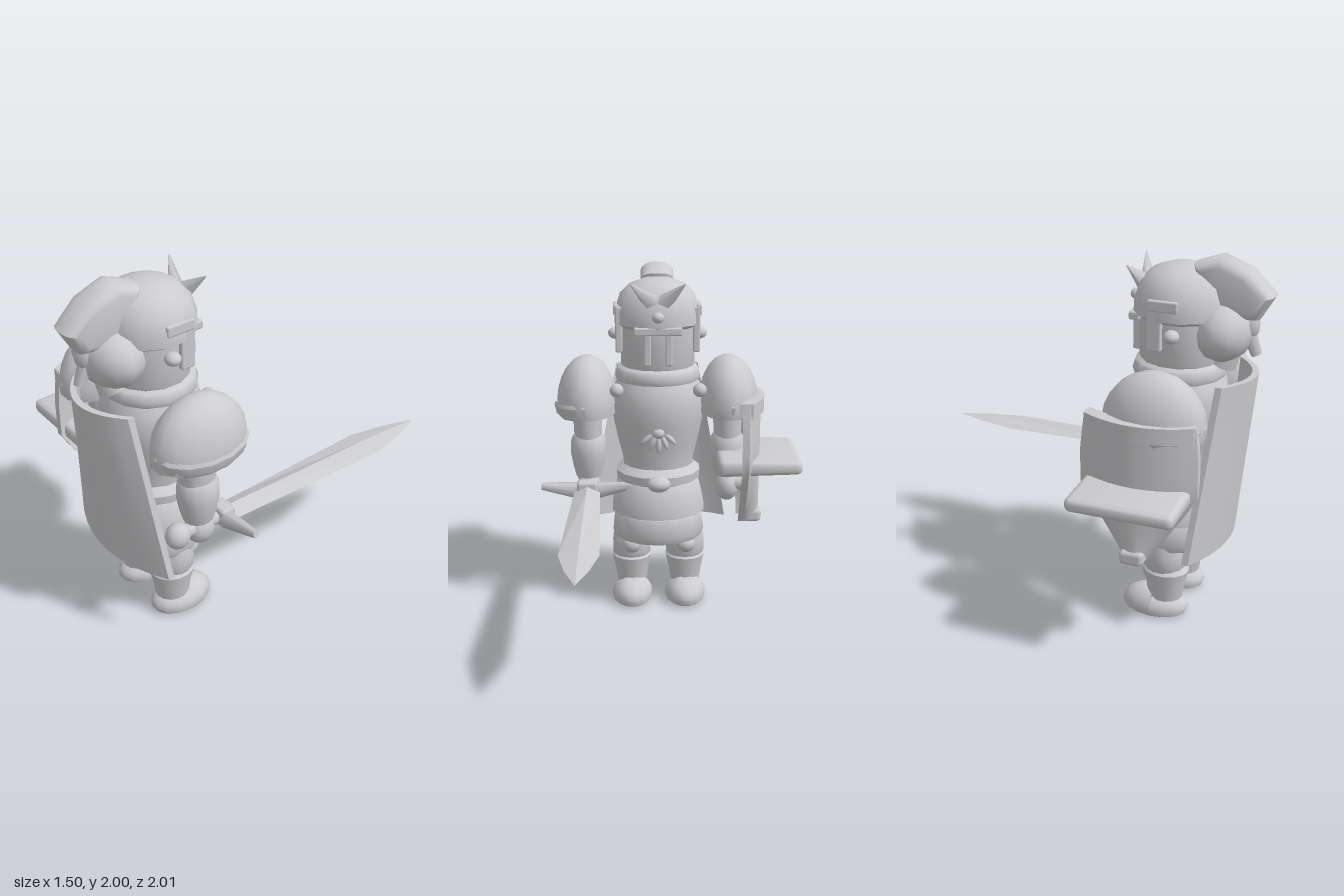
import * as THREE from 'three';
import { toCreasedNormals } from 'three/addons/utils/BufferGeometryUtils.js';
import { RoundedBoxGeometry } from 'three/addons/geometries/RoundedBoxGeometry.js';

const CX = 0.07, CZ = 0.53; // body axis; the figure faces -z

export function createModel() {
  const model = new THREE.Group();
  model.name = 'armouredKnight';
  const steel = new THREE.MeshStandardMaterial({ name: 'paleSteel', color: 0xcccccf });

  const add = (name, geo, x = 0, y = 0, z = 0) => {
    const m = new THREE.Mesh(geo, steel);
    m.name = name;
    m.position.set(x, y, z);
    model.add(m);
    return m;
  };
  const ball = (name, x, y, z, rx, ry = rx, rz = rx) => {
    const m = add(name, new THREE.SphereGeometry(1, 12, 8), x, y, z);
    m.scale.set(rx, ry, rz);
    return m;
  };
  // Round part from [radius, height] pairs
  const lathe = (name, pts, x = CX, z = CZ, sx = 1, sz = 1) => {
    const geo = new THREE.LatheGeometry(pts.map(p => new THREE.Vector2(p[0], p[1])), 14);
    const m = add(name, toCreasedNormals(geo, 0.8), x, 0, z);
    m.scale.set(sx, 1, sz);
    return m;
  };
  const box = (name, w, h, d, x, y, z, r = 0.01) =>
    add(name, new RoundedBoxGeometry(w, h, d, 1, r), x, y, z);
  // Tapered rod between two points
  const rod = (name, a, b, ra, rb, sides = 8) => {
    const A = new THREE.Vector3(...a), B = new THREE.Vector3(...b), d = B.clone().sub(A);
    const m = add(name, new THREE.CylinderGeometry(rb, ra, d.length(), sides));
    m.position.copy(A).add(B).multiplyScalar(0.5);
    m.quaternion.setFromUnitVectors(new THREE.Vector3(0, 1, 0), d.normalize());
    return m;
  };
  // Moves each vertex of a geometry by a rule
  const bend = (geo, rule) => {
    const p = geo.attributes.position, v = new THREE.Vector3();
    for (let i = 0; i < p.count; i++) {
      rule(v.fromBufferAttribute(p, i));
      p.setXYZ(i, v.x, v.y, v.z);
    }
    const flat = geo.toNonIndexed();
    return toCreasedNormals(flat, 0.7);
  };

  // Helmet
  lathe('helmet', [[0, 1.42], [0.2, 1.42], [0.215, 1.46], [0.22, 1.67], [0.25, 1.69], [0.248, 1.76],
    [0.22, 1.845], [0.16, 1.905], [0.08, 1.935], [0, 1.94]]);
  lathe('collar', [[0.24, 1.36], [0.25, 1.39], [0.235, 1.43], [0.19, 1.45]]);
  ball('neckGuard', CX, 1.62, 0.755, 0.225, 0.165, 0.16);
  box('visorBar', 0.27, 0.045, 0.06, CX, 1.67, 0.315);
  for (const s of [-1, 1]) {
    box('visorUpright', 0.04, 0.2, 0.05, CX + s * 0.06, 1.575, 0.318);
    ball('helmetStud', CX + s * 0.24, 1.62, 0.55, 0.045, 0.035, 0.042);
    box('templePlate', 0.03, 0.06, 0.16, CX + s * 0.235, 1.77, 0.5);
    box('cheekPlate', 0.04, 0.26, 0.08, CX + s * 0.22, 1.66, 0.455);
    const horn = rod('browHorn', [CX + s * 0.02, 1.81, 0.34], [CX + s * 0.15, 1.935, 0.28], 0.06, 0.004, 5);
    horn.scale.z = 0.7;
  }
  ball('browStud', CX, 1.75, 0.285, 0.035, 0.03, 0.035);

  // Crest and its tied tails
  const crest = new THREE.Shape([[0.65, 1.92], [0.73, 1.95], [0.86, 1.9], [0.95, 1.81], [0.91, 1.74], [0.77, 1.73],
    [0.67, 1.8]].map(p => new THREE.Vector2(...p)));
  const crestGeo = new THREE.ExtrudeGeometry(crest, {
    depth: 0.03, bevelEnabled: true, bevelSize: 0.05, bevelThickness: 0.08, bevelSegments: 4, curveSegments: 4,
  });
  crestGeo.translate(0, 0, -0.015).rotateY(-Math.PI / 2);
  add('crest', toCreasedNormals(crestGeo, 0.8), CX);
  ball('crestKnot', CX, 1.66, 0.88, 0.055, 0.09, 0.06);
  rod('crestTail', [CX, 1.65, 0.87], [CX, 1.5, 0.93], 0.045, 0.03, 6);
  rod('crestTail', [CX, 1.58, 0.82], [CX, 1.43, 0.755], 0.05, 0.075, 8);

  // Torso
  lathe('breastplate', [[0.2, 0.8], [0.205, 0.9], [0.23, 1.0], [0.255, 1.12], [0.268, 1.22], [0.25, 1.32],
    [0.21, 1.39], [0, 1.41]], CX, CZ, 1.02, 1);
  lathe('belt', [[0.2, 0.75], [0.245, 0.77], [0.25, 0.82], [0.2, 0.86]]);
  lathe('upperSkirt', [[0.2, 0.56], [0.265, 0.57], [0.262, 0.62], [0.235, 0.74], [0.2, 0.78]], CX, CZ, 1.05, 1);
  lathe('lowerSkirt', [[0, 0.43], [0.2, 0.41], [0.245, 0.41], [0.262, 0.45], [0.25, 0.56], [0.2, 0.6]], CX, CZ, 1.05, 1);
  ball('crotchPlate', CX, 0.44, CZ, 0.1, 0.04, 0.1);
  ball('buckle', CX, 0.79, 0.275, 0.07, 0.045, 0.06);
  ball('chestStud', CX, 1.09, 0.285, 0.035, 0.03, 0.028);
  for (let i = -2; i <= 2; i++) {
    const leaf = ball('chestLeaf', CX + i * 0.032, 1.02 + Math.abs(i) * 0.018, 0.295 + Math.abs(i) * 0.004, 0.016, 0.05, 0.016);
    leaf.rotation.z = i * 0.4;
  }

  // Arms and legs, mirrored about the body axis
  for (const s of [-1, 1]) {
    const ax = CX + s * 0.41, lx = CX + s * 0.16;
    const dome = add('pauldron', new THREE.SphereGeometry(1, 14, 7, 0, Math.PI * 2, 0, Math.PI * 0.56), ax, 1.22, CZ);
    dome.scale.set(0.175, 0.275, 0.272);
    const rim = lathe('pauldronRim', [[0, -0.03], [0.88, -0.035], [0.97, -0.01], [1, 0.04], [0.95, 0.06]], ax + s * 0.008, CZ, 0.18, 0.27);
    rim.position.y = 1.2;
    rim.rotation.z = -s * 0.12;
    ball('shoulderStud', CX + s * 0.235, 1.33, 0.335, 0.04);
    lathe('upperArm', [[0.08, 0.98], [0.085, 1.1], [0.09, 1.22]], ax, 0.54, 1, 1.2);
    lathe('forearm', [[0, 0.76], [0.075, 0.77], [0.09, 0.83], [0.105, 0.91], [0.102, 0.99], [0.085, 1.02], [0, 1.025]], ax, 0.54, 1, 1.08);
    ball('hand', ax, 0.7, CZ, 0.07, 0.09, 0.08);
    lathe('thigh', [[0.1, 0.27], [0.115, 0.3], [0.115, 0.38], [0.1, 0.46]], lx, 0.53);
    ball('kneeCap', lx, 0.37, 0.43, 0.06, 0.055, 0.06);
    lathe('shin', [[0.088, 0.1], [0.1, 0.19], [0.118, 0.27], [0.1, 0.29], [0, 0.29]], lx, 0.54, 1, 1.08);
    // Boot: a sphere flattened at the sole, lower at the heel
    const boot = bend(new THREE.SphereGeometry(1, 14, 10), v => {
      const y = Math.max(v.y, -0.45);
      const toe = v.z < 0 ? 1 : 0.88;
      v.set(v.x * 0.122, (y + 0.45) * 0.104 * toe, v.z * 0.185);
    });
    add('boot', boot, lx, 0, 0.485);
  }

  // Cape: a thin sheet widening downward and wrapped round the back
  const capeGeo = bend(new THREE.BoxGeometry(2, 1, 1, 10, 8, 1), v => {
    const t = 0.5 - v.y, u = v.x;
    v.set(u * (0.245 + 0.165 * t), 1.39 - 0.94 * t,
      0.925 - 0.09 * t - 0.12 * u * u + v.z * 0.035);
  });
  add('cape', capeGeo, CX);

  // Sword, pointing forward
  const sx = 0.485;
  ball('pommel', sx + 0.01, 0.725, 0.68, 0.062, 0.072, 0.068);
  rod('grip', [sx, 0.72, 0.68], [sx, 0.72, 0.38], 0.04, 0.04);
  box('guardBlock', 0.12, 0.11, 0.09, sx, 0.725, 0.39, 0.02);
  for (const s of [-1, 1]) {
    const arm = rod('guardArm', [sx + s * 0.03, 0.715, 0.4], [sx + s * 0.265, 0.75, 0.385], 0.055, 0.022, 6);
    arm.scale.z = 0.8;
  }
  // Blade: diamond cross-sections [z, half width, half thickness]
  const sections = [[0.38, 0.075, 0.04], [0.2, 0.08, 0.038], [-0.62, 0.105, 0.025], [-0.83, 0.06, 0.014], [-1, 0.001, 0.001]];
  const pos = [], idx = [];
  sections.forEach(([z, w, h], i) => {
    pos.push(w, 0, z, 0, h, z, -w, 0, z, 0, -h, z);
    if (!i) return;
    for (let k = 0; k < 4; k++) {
      const a = (i - 1) * 4 + k, b = (i - 1) * 4 + (k + 1) % 4;
      idx.push(a, a + 4, b, b, a + 4, b + 4);
    }
  });
  const last = (sections.length - 1) * 4;
  idx.push(0, 1, 2, 0, 2, 3, last, last + 2, last + 1, last, last + 3, last + 2);
  const blade = new THREE.BufferGeometry();
  blade.setAttribute('position', new THREE.Float32BufferAttribute(pos, 3));
  blade.setIndex(idx);
  add('blade', toCreasedNormals(blade, 0.2), sx, 0.717);

  // Shield: a curved board tapering to the foot, crossed by a broad flange
  const curve = q => -0.535 + 0.085 * q * q;
  const board = bend(new THREE.BoxGeometry(1, 0.76, 2, 1, 8, 10), v => {
    const y = v.y + 0.89;
    const half = y > 0.85 ? 0.31 - 0.12 * Math.max(0, y - 1.1) : 0.29 - 0.65 * (0.85 - y);
    v.set(curve(v.z) + v.x * 0.04 + 0.03, y, 0.485 + v.z * half);
  });
  add('shieldBoard', board);
  const rim = bend(new THREE.BoxGeometry(0.08, 0.085, 2, 1, 1, 10), v => {
    v.x += curve(v.z) + 0.03;
    v.z = 0.485 + v.z * 0.285;
  });
  add('shieldRim', rim, 0, 1.235);
  box('shieldFoot', 0.11, 0.08, 0.13, -0.485, 0.54, 0.485, 0.025);
  const flange = bend(new RoundedBoxGeometry(0.48, 0.1, 0.56, 2, 0.035), v => {
    v.y *= 0.75 + 0.25 * (v.x + 0.24) / 0.48;
  });
  add('shieldFlange', flange, -0.51, 0.895, 0.485);
  rod('shieldGrip', [-0.48, 0.72, 0.5], [-0.34, 0.72, 0.52], 0.04, 0.04);

  return model;
}
